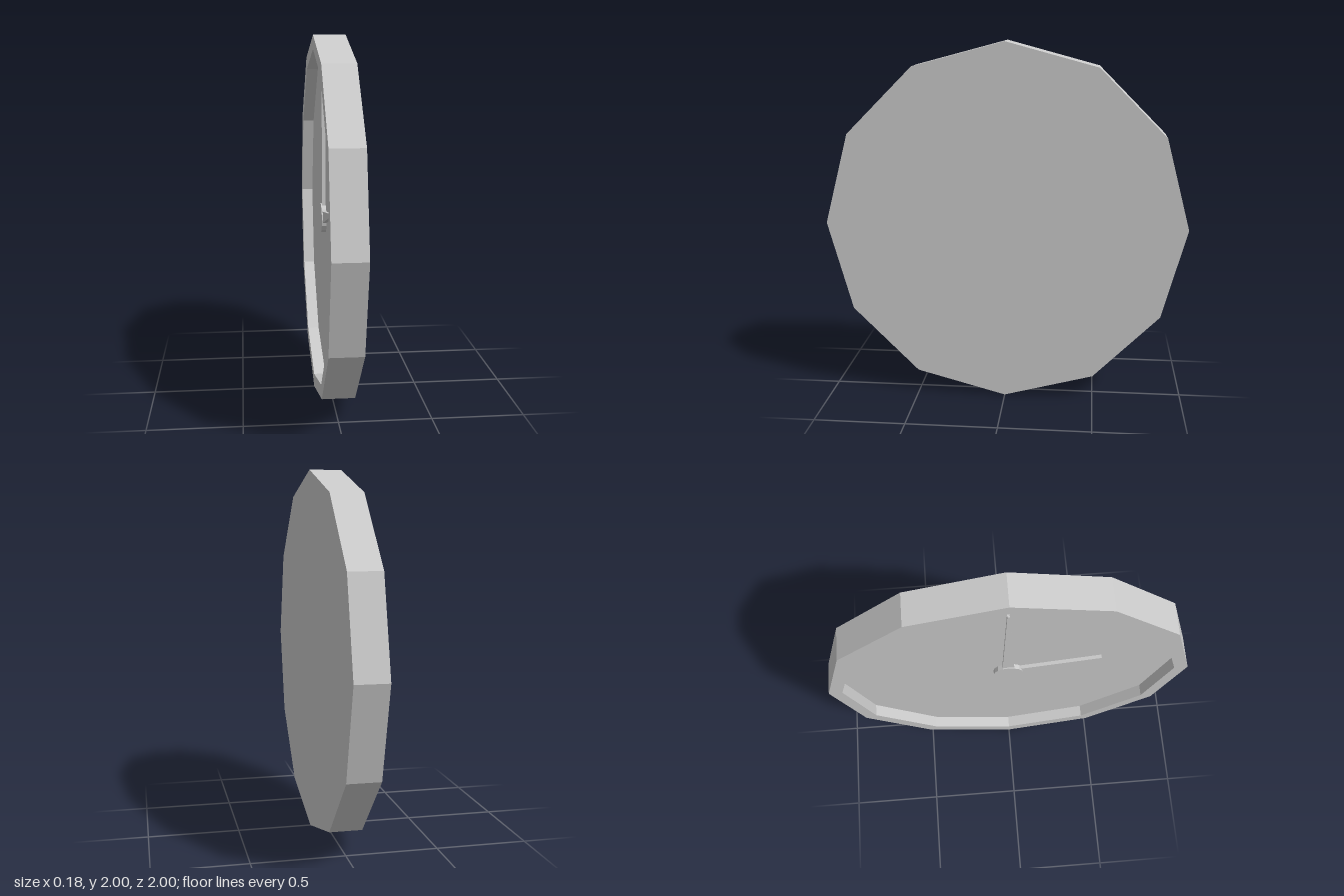
import * as THREE from 'three';

const SIDES = 12;
const HALF = 0.088;    // half the case thickness
const FLOOR = 0.023;   // height of the recessed dial along the clock axis
const mat = new THREE.MeshStandardMaterial({ color: 0xcccccc, flatShading: true });

// Tapered hand pointing to 12 o'clock, turned clockwise by angle (degrees)
function makeHand(name, length, angle) {
  const shape = new THREE.Shape([
    new THREE.Vector2(-0.035, 0),
    new THREE.Vector2(0.035, 0),
    new THREE.Vector2(0.006, length),
    new THREE.Vector2(-0.006, length),
  ]);
  const geo = new THREE.ExtrudeGeometry(shape, { depth: 0.02, bevelEnabled: false });
  geo.rotateZ(-THREE.MathUtils.degToRad(angle));
  geo.translate(0, 0, FLOOR);
  const hand = new THREE.Mesh(geo, mat);
  hand.name = name;
  return hand;
}

export function createModel() {
  const model = new THREE.Group();
  model.name = 'wallClock';

  // The clock is built facing +z, then turned to face -x
  const clock = new THREE.Group();
  clock.name = 'clock';
  clock.rotation.y = -Math.PI / 2;
  clock.position.y = 1;
  model.add(clock);

  // Twelve-sided case: back, outer wall, rim, inner wall and dial
  const profile = [
    [0, -HALF], [1, -HALF], [1, HALF], [0.925, HALF], [0.925, FLOOR], [0, FLOOR],
  ].map(([r, h]) => new THREE.Vector2(r, h));
  const caseGeo = new THREE.LatheGeometry(profile, SIDES);
  caseGeo.rotateX(Math.PI / 2);
  const body = new THREE.Mesh(caseGeo, mat);
  body.name = 'case';
  clock.add(body);

  // Hands
  clock.add(makeHand('minuteHand', 0.78, 0));
  clock.add(makeHand('hourHand', 0.525, 77));

  // Hub over the hands
  const hubGeo = new THREE.CylinderGeometry(0.082, 0.082, 0.026, 16);
  hubGeo.rotateX(Math.PI / 2);
  hubGeo.translate(0, 0, FLOOR + 0.013);
  const hub = new THREE.Mesh(hubGeo, mat);
  hub.name = 'hub';
  clock.add(hub);

  return model;
}
